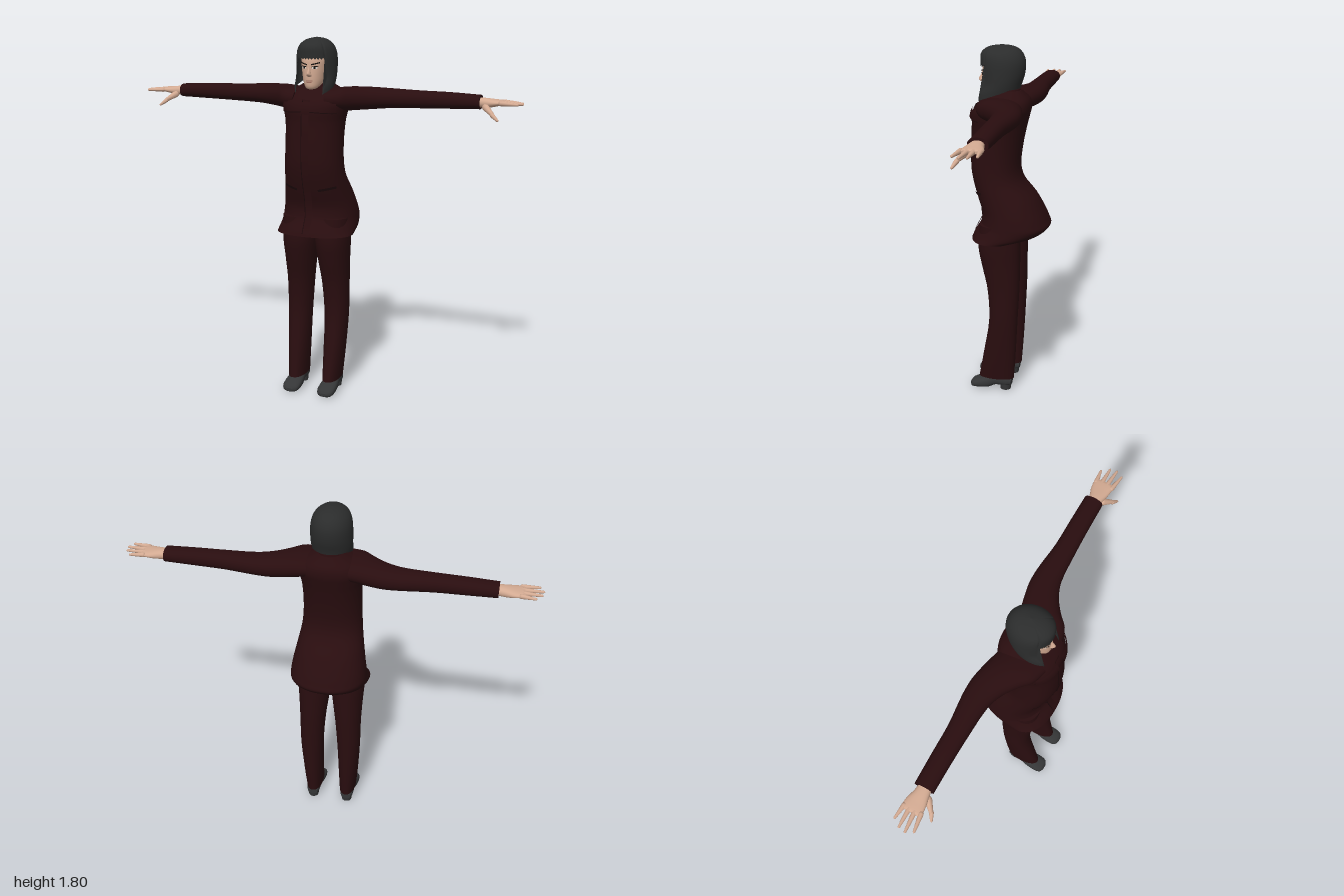
import * as THREE from 'three';

const mat = (name, color, side = THREE.FrontSide) => {
  const m = new THREE.MeshStandardMaterial({ color, side });
  m.name = name;
  return m;
};

// A ring is [t, aMin, aMax, bMin, bMax]; t runs along the axis and (a, b, axis) is right-handed.
function ringAt(rings, t) {
  const n = rings.length;
  let i = 0;
  while (i < n - 2 && t > rings[i + 1][0]) i++;
  const slope = (k, c) => {
    const p = rings[Math.max(0, k - 1)], q = rings[Math.min(n - 1, k + 1)];
    return (q[c] - p[c]) / (q[0] - p[0]);
  };
  const A = rings[i], B = rings[i + 1], h = B[0] - A[0];
  const s = Math.min(1, Math.max(0, (t - A[0]) / h)), s2 = s * s, s3 = s2 * s;
  const f = c => (2 * s3 - 3 * s2 + 1) * A[c] + (s3 - 2 * s2 + s) * h * slope(i, c)
    + (3 * s2 - 2 * s3) * B[c] + (s3 - s2) * h * slope(i + 1, c);
  const [a0, a1, b0, b1] = [1, 2, 3, 4].map(f);
  return { a: (a0 + a1) / 2, ra: (a1 - a0) / 2, b: (b0 + b1) / 2, rb: (b1 - b0) / 2 };
}
const PLACE = {
  x: (a, b, t) => [t, a, b],
  y: (a, b, t) => [b, t, a],
  z: (a, b, t) => [a, b, t],
};
const rounded = (v, p) => Math.sign(v) * Math.abs(v) ** (2 / p);
function ringPoint(rings, t, ang, axis, p) {
  const r = ringAt(rings, t);
  return PLACE[axis](r.a + r.ra * rounded(Math.cos(ang), p), r.b + r.rb * rounded(Math.sin(ang), p), t);
}
function makeGeometry(pos, idx) {
  const g = new THREE.BufferGeometry();
  g.setAttribute('position', new THREE.Float32BufferAttribute(pos, 3));
  g.setIndex(idx);
  g.computeVertexNormals();
  return g;
}

// Smooth skin over the rings, closed with flat caps
function loft(rings, axis, p = 2.2, n = 32, sub = 4) {
  const pos = [], idx = [], ts = [];
  rings.forEach((r, i) => {
    if (i === rings.length - 1) return ts.push(r[0]);
    for (let k = 0; k < sub; k++) ts.push(r[0] + (rings[i + 1][0] - r[0]) * k / sub);
  });
  const addRing = t => {
    for (let j = 0; j < n; j++) pos.push(...ringPoint(rings, t, j / n * Math.PI * 2, axis, p));
  };
  ts.forEach(addRing);
  for (let i = 0; i < ts.length - 1; i++) for (let j = 0; j < n; j++) {
    const k = (j + 1) % n, a = i * n + j, b = i * n + k;
    idx.push(a, b, b + n, a, b + n, a + n);
  }
  for (const [t, up] of [[ts[0], false], [ts[ts.length - 1], true]]) {
    const base = pos.length / 3, r = ringAt(rings, t);
    addRing(t);
    pos.push(...PLACE[axis](r.a, r.b, t));
    for (let j = 0; j < n; j++) {
      const k = (j + 1) % n;
      idx.push(base + n, base + (up ? j : k), base + (up ? k : j));
    }
  }
  return makeGeometry(pos, idx);
}

// Thin panel lying on the front of a lofted body
function panel(rings, cx, cy, w, h, off, slope = 0, p = 2.2) {
  const g = new THREE.PlaneGeometry(w, h, 8, 8), P = g.attributes.position;
  for (let i = 0; i < P.count; i++) {
    const x = cx + P.getX(i), y = cy + P.getY(i) + slope * P.getX(i), r = ringAt(rings, y);
    const u = Math.min(0.98, Math.abs((x - r.b) / r.rb));
    P.setXYZ(i, x, y, r.a + r.ra * (1 - u ** p) ** (1 / p) + off);
  }
  g.computeVertexNormals();
  return g;
}

// Tapered round-ended rod between two points
function rod(from, to, r0, r1) {
  const a = new THREE.Vector3(...from), d = new THREE.Vector3(...to).sub(a), len = d.length();
  const prof = [[0, 0], [r0 * 0.8, r0 * 0.3], [r0, r0], [r1, len - r1], [r1 * 0.7, len - r1 * 0.3], [0, len]];
  const g = new THREE.LatheGeometry(prof.map(q => new THREE.Vector2(...q)), 10);
  g.applyQuaternion(new THREE.Quaternion().setFromUnitVectors(new THREE.Vector3(0, 1, 0), d.normalize()));
  return g.translate(a.x, a.y, a.z);
}
function mirrored(geo) {
  const g = geo.clone().scale(-1, 1, 1), ix = g.index.array;
  for (let i = 0; i < ix.length; i += 3) [ix[i], ix[i + 1]] = [ix[i + 1], ix[i]];
  g.computeVertexNormals();
  return g;
}

const TORSO = [
  [0.835, -0.06, 0.193, -0.197, 0.197], [0.86, -0.15, 0.183, -0.197, 0.197], [0.9, -0.2, 0.158, -0.193, 0.193],
  [0.93, -0.193, 0.145, -0.19, 0.19], [0.98, -0.17, 0.143, -0.182, 0.182], [1.05, -0.13, 0.165, -0.168, 0.168],
  [1.13, -0.065, 0.187, -0.153, 0.153], [1.2, -0.046, 0.198, -0.147, 0.147], [1.3, -0.055, 0.198, -0.144, 0.144],
  [1.4, -0.075, 0.192, -0.148, 0.148], [1.46, -0.09, 0.193, -0.16, 0.16], [1.5, -0.098, 0.178, -0.165, 0.165],
  [1.54, -0.092, 0.14, -0.135, 0.135], [1.57, -0.065, 0.105, -0.085, 0.085], [1.585, -0.05, 0.09, -0.06, 0.06]];
const ARM = [
  [0.08, 1.45, 1.558, -0.07, 0.16], [0.15, 1.45, 1.565, -0.088, 0.135], [0.2, 1.452, 1.565, -0.1, 0.09],
  [0.27, 1.456, 1.562, -0.112, 0.042], [0.35, 1.462, 1.558, -0.112, 0.015], [0.5, 1.468, 1.553, -0.097, 0.005],
  [0.65, 1.472, 1.55, -0.095, 0.001], [0.795, 1.476, 1.543, -0.093, 0]];
const LEG = [
  [0.065, -0.036, 0.15, 0.05, 0.136], [0.2, -0.045, 0.125, 0.046, 0.148], [0.4, -0.055, 0.092, 0.04, 0.16],
  [0.57, -0.063, 0.101, 0.028, 0.162], [0.7, -0.065, 0.13, 0.012, 0.167], [0.8, -0.065, 0.148, 0.001, 0.173],
  [0.92, -0.06, 0.14, 0, 0.173]];
const SHOE = [
  [-0.025, 0.07, 0.12, 0.028, 0.06], [0, 0.06, 0.13, 0.022, 0.08], [0.06, 0.058, 0.132, 0.02, 0.085],
  [0.1, 0.052, 0.138, 0.003, 0.07], [0.15, 0.049, 0.141, 0, 0.052], [0.185, 0.058, 0.132, 0, 0.036],
  [0.196, 0.08, 0.11, 0.006, 0.022]];
const PALM = [
  [0.78, 1.487, 1.532, -0.075, -0.015], [0.82, 1.483, 1.53, -0.08, -0.008], [0.86, 1.49, 1.526, -0.092, 0.001],
  [0.9, 1.5, 1.522, -0.094, 0.004], [0.912, 1.505, 1.518, -0.088, -0.001]];
const HEAD = [
  [1.552, 0.07, 0.118, -0.02, 0.02], [1.562, 0.04, 0.136, -0.034, 0.034], [1.59, 0, 0.142, -0.049, 0.049],
  [1.62, -0.03, 0.144, -0.057, 0.057], [1.66, -0.045, 0.143, -0.064, 0.064], [1.7, -0.05, 0.14, -0.066, 0.066],
  [1.75, -0.03, 0.115, -0.055, 0.055], [1.775, 0, 0.08, -0.03, 0.03]];
const HAIR = [
  [1.53, -0.03, 0.185, -0.09, 0.09], [1.57, -0.04, 0.18, -0.096, 0.096], [1.61, -0.05, 0.148, -0.099, 0.099],
  [1.66, -0.066, 0.147, -0.1, 0.1], [1.72, -0.071, 0.151, -0.097, 0.097], [1.76, -0.058, 0.148, -0.084, 0.084],
  [1.785, -0.034, 0.122, -0.059, 0.059], [1.796, -0.005, 0.088, -0.033, 0.033], [1.802, 0.042, 0.042, 0, 0]];

// Bob haircut: one shell whose lower edge is a jagged fringe in front and long at the sides
function bob() {
  const n = 80, rows = 20, pos = [], idx = [];
  for (let i = 0; i <= rows; i++) for (let j = 0; j < n; j++) {
    const ang = j / n * Math.PI * 2, fromFront = Math.min(ang, Math.PI * 2 - ang);
    const back = Math.max(0, (fromFront - 0.8) / (Math.PI - 0.8));
    const low = fromFront < 0.79 ? 1.698 + (j % 2) * 0.009 : 1.532 + 0.063 * Math.min(1, back * 1.6);
    const y = low + (1.802 - low) * Math.sin(i / rows * Math.PI / 2);
    pos.push(...ringPoint(HAIR, y, ang, 'y', 2));
    if (i === rows) continue;
    const k = (j + 1) % n, a = i * n + j, b = i * n + k;
    idx.push(a, b, b + n, a, b + n, a + n);
  }
  return makeGeometry(pos, idx);
}

export function createModel() {
  const model = new THREE.Group();
  const D = THREE.DoubleSide;
  const cloth = mat('maroon cloth', 0x290d0f, D), seam = mat('dark seam', 0x1a080a, D);
  const skin = mat('skin', 0xd3aa92), lip = mat('lips', 0xa87566, D);
  const hair = mat('charcoal hair', 0x2b2c2c, D), shoe = mat('shoe leather', 0x353637);
  const ink = mat('brow black', 0x17120f, D), white = mat('eye white', 0xe4dcd4, D);
  const add = (name, geo, material) => {
    const m = new THREE.Mesh(geo, material);
    m.name = name;
    model.add(m);
  };
  const pair = (name, geo, material) => {
    add('left' + name, geo, material);
    add('right' + name, mirrored(geo), material);
  };

  // Jacket and trousers
  add('jacket', loft(TORSO, 'y', 2.2, 48), cloth);
  add('collar', loft([[1.535, -0.065, 0.14, -0.085, 0.085], [1.57, -0.05, 0.115, -0.068, 0.068],
    [1.59, -0.045, 0.1, -0.06, 0.06]], 'y'), cloth);
  add('placket', panel(TORSO, 0, 1.18, 0.036, 0.66, 0.004), cloth);
  add('placketSeam', panel(TORSO, -0.02, 1.18, 0.004, 0.66, 0.005), seam);
  pair('Sleeve', loft(ARM, 'x'), cloth);
  pair('ChestFlap', panel(TORSO, 0.08, 1.475, 0.115, 0.045, 0.01, -0.08), cloth);
  pair('ChestFlapSeam', panel(TORSO, 0.08, 1.45, 0.115, 0.005, 0.006, -0.08), seam);
  pair('HipPocket', panel(TORSO, 0.095, 1.075, 0.08, 0.012, 0.005, 0.2), seam);
  pair('TrouserLeg', loft(LEG, 'y'), cloth);

  // Shoes with low heels
  pair('Shoe', loft(SHOE, 'z', 2.5, 24), shoe);
  pair('Heel', new THREE.CylinderGeometry(0.031, 0.027, 0.036, 16).translate(0.095, 0.018, 0.008), shoe);

  // Hands
  pair('Palm', loft(PALM, 'x', 2.3, 20), skin);
  [[-0.004, 0.012, 0.982], [-0.032, -0.022, 1], [-0.058, -0.056, 0.994], [-0.083, -0.092, 0.968]].forEach(([z0, z1, x], i) =>
    pair('Finger' + (i + 1), rod([0.885, 1.511, z0], [x, 1.508, z1], 0.012, 0.006), skin));
  pair('ThumbBase', rod([0.815, 1.497, -0.02], [0.868, 1.457, 0.027], 0.017, 0.01), skin);
  pair('ThumbTip', rod([0.856, 1.464, 0.02], [0.896, 1.432, 0.04], 0.011, 0.006), skin);

  // Head and neck
  add('neck', new THREE.CylinderGeometry(0.045, 0.05, 0.12, 24).translate(0, 1.57, 0.03), skin);
  add('head', loft(HEAD, 'y', 2.2, 36), skin);
  add('nose', loft([[1.616, 0.12, 0.143, -0.012, 0.012], [1.624, 0.12, 0.158, -0.014, 0.014],
    [1.634, 0.12, 0.163, -0.01, 0.01], [1.655, 0.12, 0.151, -0.007, 0.007],
    [1.675, 0.12, 0.144, -0.005, 0.005]], 'y', 2, 16), skin);
  add('upperLip', panel(HEAD, 0, 1.597, 0.034, 0.006, 0.003), lip);
  add('lowerLip', panel(HEAD, 0, 1.59, 0.026, 0.006, 0.004), lip);
  pair('Eye', panel(HEAD, 0.027, 1.66, 0.024, 0.009, 0.002), white);
  pair('Iris', panel(HEAD, 0.026, 1.66, 0.009, 0.009, 0.003), ink);
  pair('EyeLine', panel(HEAD, 0.028, 1.666, 0.03, 0.004, 0.003, 0.1), ink);
  pair('Eyebrow', panel(HEAD, 0.029, 1.679, 0.036, 0.006, 0.003, 0.25), ink);
  add('bobHair', bob(), hair);
  return model;
}
